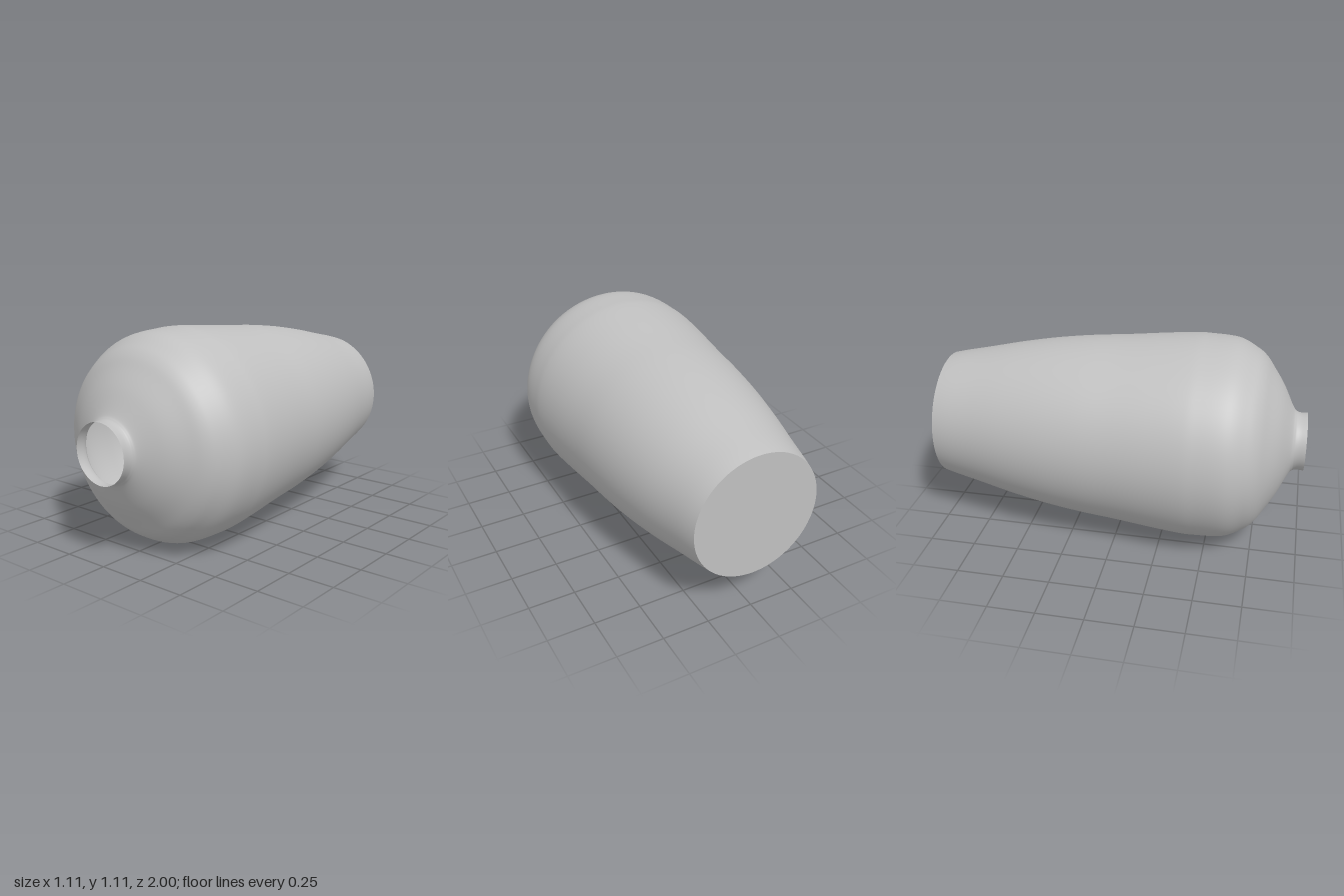
import * as THREE from 'three';

export function createModel() {
  const group = new THREE.Group();
  const clay = new THREE.MeshStandardMaterial({ color: 0xc0c0c0, side: THREE.DoubleSide });
  clay.name = 'light grey clay';

  const centreY = 0.56;
  const segments = 96;

  // Profile as [radius, position along z], from base to mouth
  const profile = new THREE.SplineCurve([
    [0.345, -1], [0.362, -0.93], [0.39, -0.8], [0.435, -0.6], [0.472, -0.4], [0.499, -0.2],
    [0.518, 0], [0.54, 0.2], [0.555, 0.36], [0.556, 0.45], [0.545, 0.6], [0.498, 0.7],
    [0.455, 0.755], [0.39, 0.802], [0.3, 0.86], [0.19, 0.915], [0.164, 0.935],
    [0.157, 0.95], [0.155, 0.97], [0.157, 1],
  ].map(([r, z]) => new THREE.Vector2(r, z)));

  // Open thin-walled body lying along z
  const bodyGeometry = new THREE.LatheGeometry(profile.getPoints(120), segments);
  bodyGeometry.rotateX(Math.PI / 2);

  // The neck sits slightly high, and its lip is cut slightly askew
  const p = bodyGeometry.attributes.position;
  for (let i = 0; i < p.count; i++) {
    const z = p.getZ(i);
    const neck = THREE.MathUtils.smoothstep(z, 0.7, 0.95);
    p.setY(i, p.getY(i) + 0.011 * neck);
    const lip = THREE.MathUtils.smoothstep(z, 0.95, 1);
    p.setZ(i, z - lip * 0.008 * (p.getX(i) / 0.157 + 1) / 2);
  }
  const body = new THREE.Mesh(bodyGeometry, clay);
  body.name = 'vaseBody';
  body.position.y = centreY;
  group.add(body);

  // Flat closed base at the back
  const base = new THREE.Mesh(new THREE.CircleGeometry(0.345, segments), clay);
  base.name = 'vaseBase';
  base.rotation.y = Math.PI;
  base.position.set(0, centreY, -1);
  group.add(base);

  return group;
}
